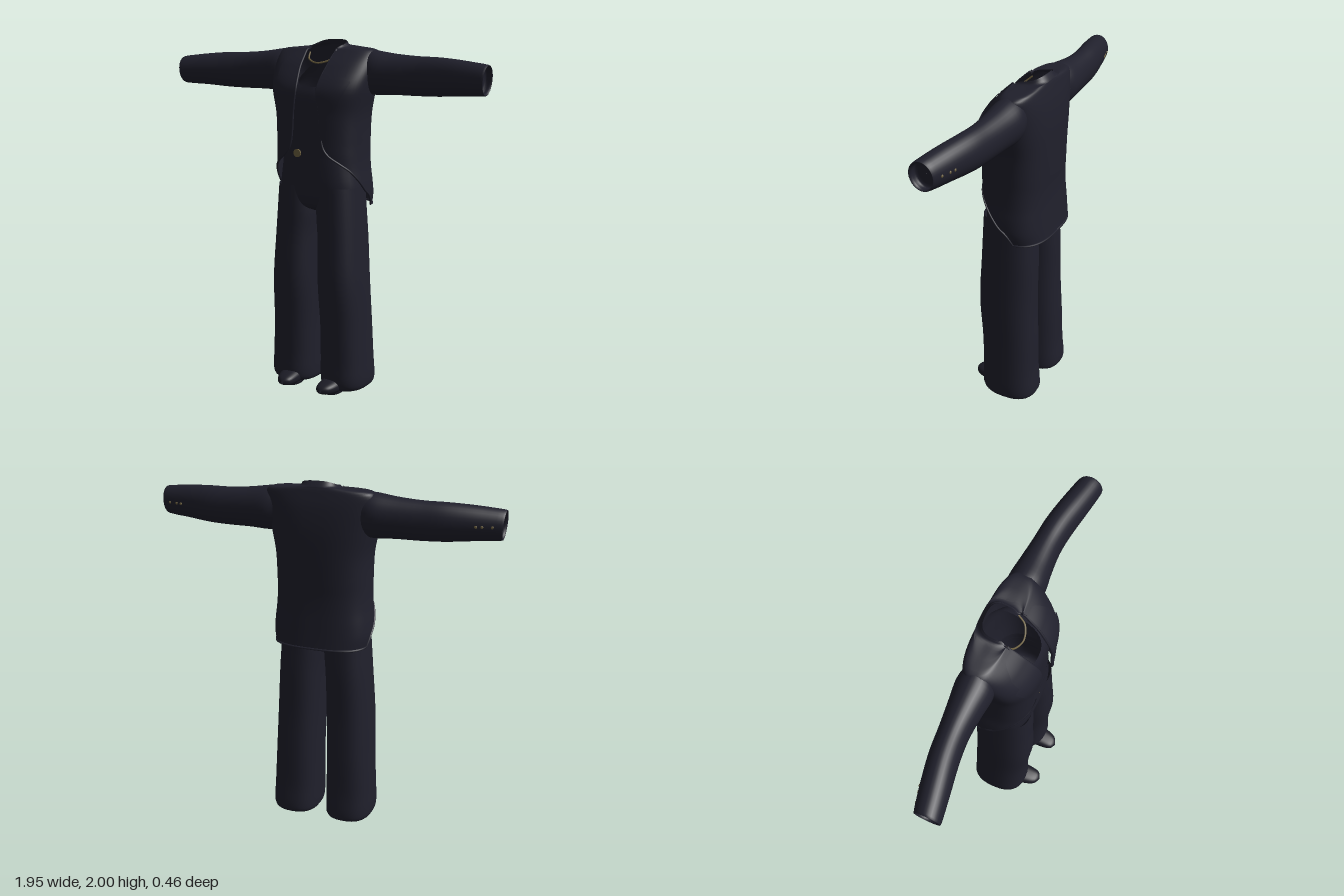
import * as THREE from 'three';

const mat = (name, color) => {
  const m = new THREE.MeshStandardMaterial({ color, side: THREE.DoubleSide });
  m.name = name;
  return m;
};
const V = (x, y, z) => new THREE.Vector3(x, y, z);
const rad = THREE.MathUtils.degToRad;
const spow = (v, p) => Math.sign(v) * Math.pow(Math.abs(v), p);

// Smooth interpolation through rows of numbers; t is a fractional row index
function sample(rows, t) {
  const n = rows.length - 1, i = Math.min(Math.floor(t), n - 1), f = t - i;
  const [a, b, c, d] = [i - 1, i, i + 1, i + 2].map(k => rows[Math.max(0, Math.min(n, k))]);
  return b.map((_, k) => {
    const m0 = (c[k] - a[k]) / 2, m1 = (d[k] - b[k]) / 2, f2 = f * f, f3 = f2 * f;
    return b[k] * (2 * f3 - 3 * f2 + 1) + m0 * (f3 - 2 * f2 + f) + c[k] * (3 * f2 - 2 * f3) + m1 * (f3 - f2);
  });
}

// Skin over a list of rings
function loft(rings, closed) {
  const m = rings[0].length, pos = [], idx = [];
  rings.forEach(r => r.forEach(p => pos.push(p.x, p.y, p.z)));
  for (let i = 0; i < rings.length - 1; i++)
    for (let j = 0; j < (closed ? m : m - 1); j++) {
      const k = (j + 1) % m, a = i * m + j, b = i * m + k, c = a + m, d = b + m;
      idx.push(a, b, d, a, d, c);
    }
  const g = new THREE.BufferGeometry();
  g.setAttribute('position', new THREE.Float32BufferAttribute(pos, 3));
  g.setIndex(idx);
  g.computeVertexNormals();
  return g;
}

// Closed loft: each interpolated row becomes a ring through point(row, cos, sin)
function tubeLoft(rows, point, p = 1, steps = 4, seg = 32) {
  const rings = [], n = (rows.length - 1) * steps;
  for (let i = 0; i <= n; i++) {
    const r = sample(rows, i / steps), ring = [];
    for (let j = 0; j < seg; j++) {
      const a = (j / seg) * Math.PI * 2;
      ring.push(point(r, spow(Math.cos(a), p), spow(Math.sin(a), p)));
    }
    rings.push(ring);
  }
  return loft(rings, true);
}
const mid = (a, b, s) => (a + b) / 2 + ((b - a) / 2) * s;

// Jacket rows: back y, front y, half width, front z, back z, opening angle
const JACKET = [
  [1.09, 1.09, .268, .15, -.225, 99], [1.15, 1.15, .278, .155, -.22, 92],
  [1.22, 1.22, .275, .16, -.215, 80], [1.30, 1.30, .266, .165, -.21, 58],
  [1.38, 1.38, .262, .17, -.208, 24], [1.46, 1.46, .262, .17, -.21, 14],
  [1.60, 1.60, .268, .17, -.212, 11], [1.74, 1.74, .295, .165, -.21, 7],
  [1.86, 1.86, .31, .09, -.198, 9], [1.94, 1.94, .30, .01, -.18, 11],
  [1.965, 1.95, .2, 0, -.172, 19], [1.975, 1.94, .11, .01, -.168, 50],
  [2.0, 1.945, .09, -.005, -.152, 60],
];
const openAngle = t => rad(sample(JACKET, t)[5]);
function jacketPoint(t, a, off = 0) {
  const [yB, yF, hw, zF, zB] = sample(JACKET, t);
  const x = (hw + off) * spow(Math.sin(a), .7);
  const z = (zF + zB) / 2 + ((zF - zB) / 2 + off) * spow(Math.cos(a), .7);
  return V(x, yB + (yF - yB) * (.5 + .5 * Math.cos(a)), z);
}
// Patch of the jacket surface between two angles
function jacketPatch(t0, t1, from, to, off, nt, na) {
  const rings = [];
  for (let i = 0; i <= nt; i++) {
    const t = t0 + ((t1 - t0) * i) / nt, a0 = from(t), a1 = to(t), ring = [];
    for (let j = 0; j <= na; j++) ring.push(jacketPoint(t, a0 + ((a1 - a0) * j) / na, off));
    rings.push(ring);
  }
  return loft(rings, false);
}

export function createModel() {
  const suit = mat('suit cloth', 0x20202c);
  const leather = mat('shoe leather', 0x1b1b25);
  const gold = mat('dull gold', 0x6e6140);
  const root = new THREE.Group();
  root.name = 'suit';
  const add = (name, geo, material = suit) => {
    const m = new THREE.Mesh(geo, material);
    m.name = name;
    root.add(m);
    return m;
  };

  // Jacket body and the collar band
  const around = t => 2 * Math.PI - openAngle(t);
  add('jacketBody', jacketPatch(0, 12, openAngle, around, 0, 60, 60));
  add('collar', jacketPatch(10.5, 12, openAngle, around, .008, 8, 40));

  // Shirt under the jacket, with a scooped neck
  const shirt = [[1.36, 1.36, .22, .145, -.17], [1.5, 1.5, .235, .145, -.18],
    [1.62, 1.62, .24, .145, -.18], [1.76, 1.7, .22, .14, -.18], [1.9, 1.75, .12, .125, -.165]];
  add('shirt', tubeLoft(shirt, ([yB, yF, hw, zF, zB], c, s) =>
    V(hw * s, mid(yB, yF, c), mid(zB, zF, c)), .75));

  // Chain at the neck
  const chain = new THREE.CatmullRomCurve3([V(-.088, 1.93, -.02), V(-.07, 1.895, .02), V(0, 1.875, .045),
    V(.07, 1.895, .02), V(.088, 1.93, -.02)]);
  add('neckChain', new THREE.TubeGeometry(chain, 40, .005, 6), gold);

  // Hips, waistband and waist button
  const hips = [[1.42, .215, .148, -.16], [1.3, .23, .152, -.165], [1.18, .245, .15, -.16],
    [1.09, .235, .13, -.14], [1.055, .15, .07, -.08]];
  const hipPoint = ([y, hw, zF, zB], c, s) => V(hw * s, y, mid(zB, zF, c));
  add('hips', tubeLoft(hips, hipPoint, .75));
  add('waistband', tubeLoft([[1.36, .222, .151, -.163], [1.42, .218, .153, -.163]], hipPoint, .75, 2));
  const button = add('waistButton', new THREE.CylinderGeometry(.023, .023, .009, 20), gold);
  button.rotation.x = Math.PI / 2;
  button.position.set(-.065, 1.385, .155);

  const lapelOuter = [[5, 14], [6, 28], [7.38, 47], [7.44, 36], [8, 35], [9, 20]];
  const lapelAngle = t => {
    const i = Math.max(1, lapelOuter.findIndex(r => r[0] >= t - 1e-6));
    const [a, b] = [lapelOuter[i - 1], lapelOuter[i]];
    return rad(a[1] + ((b[1] - a[1]) * (t - a[0])) / (b[0] - a[0]));
  };

  // Sleeve rows: x, centre y, centre z, y radius, z radius
  const sleeve = [[.25, 1.83, -.08, .118, .085], [.31, 1.825, -.075, .12, .1], [.42, 1.82, -.075, .11, .088],
    [.55, 1.815, -.072, .105, .077], [.68, 1.815, -.06, .102, .077], [.82, 1.815, -.035, .092, .076],
    [.96, 1.81, -.008, .08, .07], [.962, 1.81, -.008, .07, .06], [.935, 1.81, -.012, .065, .055], [.93, 1.81, -.012, .002, .002]];
  // Leg rows: y, inner x, outer x, front z, back z
  const leg = [[1.2, .005, .245, .148, -.155], [1.05, .004, .255, .155, -.16], [.9, .015, .265, .16, -.165],
    [.65, .02, .28, .17, -.165], [.4, .025, .29, .15, -.175], [.2, .025, .3, .145, -.18],
    [.08, .025, .305, .148, -.19], [.03, .032, .295, .13, -.185], [.022, .06, .26, .09, -.15], [.03, .16, .165, -.02, -.03]];
  // Shoe rows: z, centre x, half width, bottom y, top y
  const shoe = [[-.13, .135, .004, .02, .05], [-.12, .135, .045, .012, .09], [-.03, .137, .052, .012, .11],
    [.07, .14, .062, .008, .1], [.15, .138, .06, .012, .088], [.21, .132, .042, .022, .072], [.233, .13, .004, .035, .05]];

  for (const s of [1, -1]) {
    const side = s > 0 ? 'left' : 'right';
    const mirror = fn => (...args) => { const p = fn(...args); p.x *= s; return p; };

    // Lapel and piping along the front edge and hem
    const lapel = jacketPatch(5, 9, openAngle, lapelAngle, .009, 50, 8);
    const edgePts = [];
    for (let i = 0; i <= 22; i++) edgePts.push(jacketPoint(i / 2, openAngle(i / 2)));
    const edge = new THREE.TubeGeometry(new THREE.CatmullRomCurve3(edgePts), 80, .006, 6);
    const hemPts = [];
    for (let i = 0; i <= 12; i++) hemPts.push(jacketPoint(0, rad(99) + ((Math.PI - rad(99)) * i) / 12));
    const hem = new THREE.TubeGeometry(new THREE.CatmullRomCurve3(hemPts), 40, .006, 6);
    for (const [name, g] of [['Lapel', lapel], ['FrontEdge', edge], ['Hem', hem]]) {
      if (s < 0) { // mirror and turn the faces back outward
        g.scale(-1, 1, 1);
        const ix = g.index.array;
        for (let i = 0; i < ix.length; i += 3) [ix[i], ix[i + 1]] = [ix[i + 1], ix[i]];
        g.computeVertexNormals();
      }
      add(side + name, g);
    }

    // Sleeve with three small buttons near the cuff
    add(side + 'Sleeve', tubeLoft(sleeve, mirror(([x, y, z, ry, rz], c, sn) =>
      V(x + (x > .9 ? .07 * c * ry : 0), y + ry * c, z - s * rz * sn)), 1));
    for (const x of [.84, .87, .92]) {
      const b = add(side + 'CuffButton', new THREE.SphereGeometry(.008, 10, 6), gold);
      b.scale.z = .5;
      b.position.set(s * x, 1.81, -.108 + (x - .84) * .25);
    }

    // Trouser leg
    add(side + 'Leg', tubeLoft(leg, mirror(([y, xi, xo, zF, zB], c, sn) =>
      V(mid(xi, xo, s * sn), y, mid(zB, zF, c))), .8));

    // Shoe upper, sole and heel
    add(side + 'Shoe', tubeLoft(shoe, mirror(([z, x, hw, y0, y1], c, sn) =>
      V(x + hw * s * c, mid(y0, y1, sn), z)), .8), leather);
    const heel = add(side + 'Heel', new THREE.CylinderGeometry(.045, .042, .03, 20), leather);
    heel.position.set(s * .135, .015, -.075);
    const sole = add(side + 'Sole', new THREE.CylinderGeometry(.055, .05, .014, 24), leather);
    sole.scale.z = 1.5;
    sole.position.set(s * .139, .011, .09);
  }
  return root;
}
